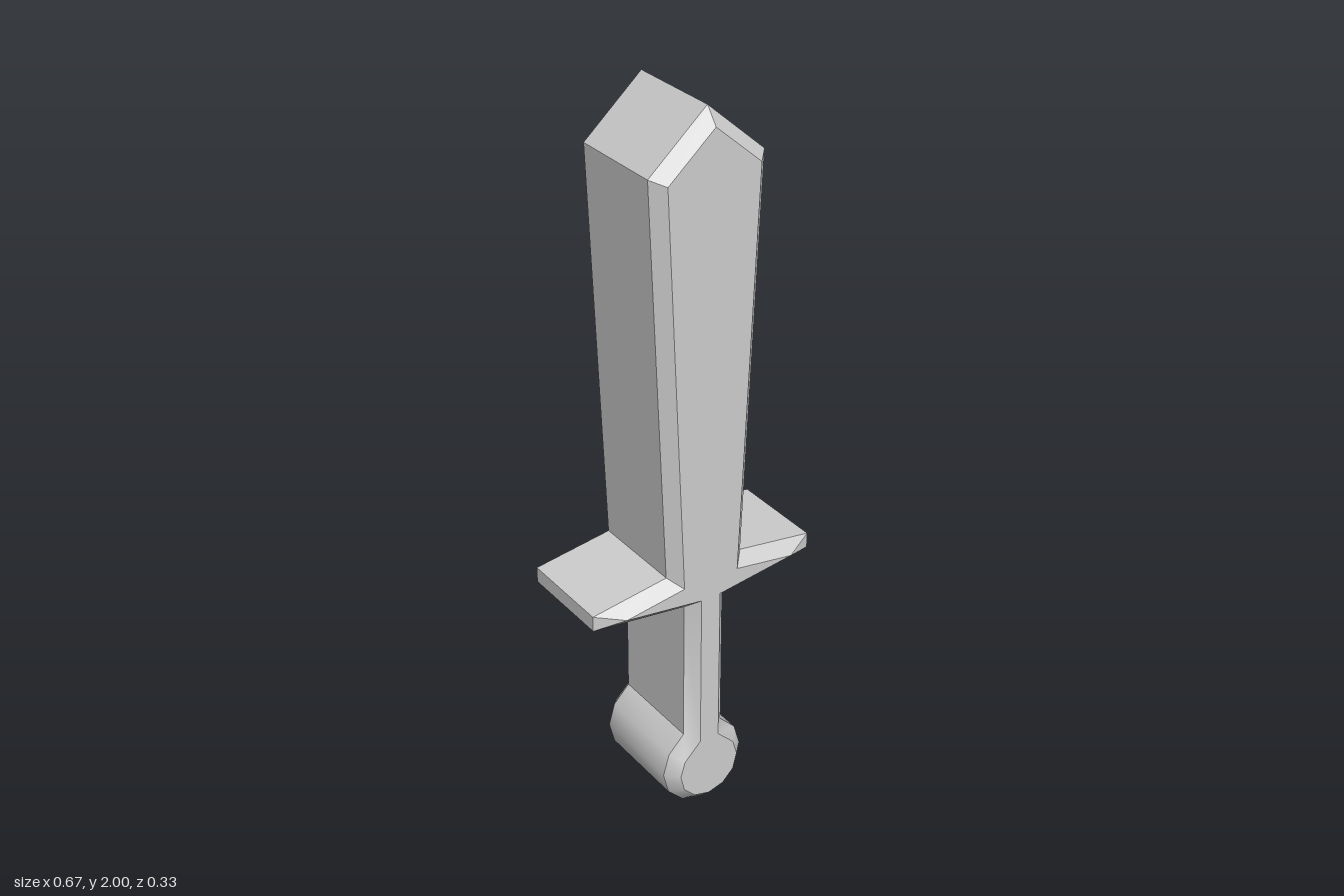
import * as THREE from 'three';
import { toCreasedNormals } from 'three/addons/utils/BufferGeometryUtils.js';

// Half outline from pommel bottom to blade tip, mirrored into a closed counter-clockwise loop
function outline(radius, upper) {
  const half = [];
  for (let i = 0; i < 5; i++) {
    const a = THREE.MathUtils.degToRad(30.3 * i);
    half.push([radius * Math.sin(a), 0.125 - radius * Math.cos(a)]);
  }
  half.push(...upper);
  const mirrored = half.slice(1, -1).reverse().map(([x, y]) => [-x, y]);
  return [...half, ...mirrored].map(([x, y]) => new THREE.Vector2(x, y));
}

export function createModel() {
  // Handle, guard and blade: full outline, and the inset face (its guard narrows to a point)
  const outer = outline(0.125, [[0.06, 0.238], [0.06, 0.652], [0.335, 0.688], [0.335, 0.731],
    [0.115, 0.763], [0.163, 1.857], [0, 2]]);
  const inner = outline(0.092, [[0.029, 0.222], [0.029, 0.678], [0.256, 0.709], [0.256, 0.709],
    [0.082, 0.735], [0.131, 1.843], [0, 1.957]]);

  const positions = [];
  const triangle = (a, b, c) => {
    const area = new THREE.Triangle(a, b, c).getArea();
    if (area > 1e-7) for (const p of [a, b, c]) positions.push(p.x, p.y, p.z);
  };
  const layer = (loop, z) => loop.map((p) => new THREE.Vector3(p.x, p.y, z));
  const layers = [layer(inner, -0.167), layer(outer, -0.133), layer(outer, 0.133), layer(inner, 0.167)];

  // Back bevel, sides and front bevel
  for (let k = 0; k < 3; k++) {
    const lo = layers[k], hi = layers[k + 1];
    for (let i = 0; i < lo.length; i++) {
      const j = (i + 1) % lo.length;
      triangle(lo[i], lo[j], hi[j]);
      triangle(lo[i], hi[j], hi[i]);
    }
  }

  // Flat front and back faces
  for (const [a, b, c] of THREE.ShapeUtils.triangulateShape(inner, [])) {
    triangle(layers[3][a], layers[3][b], layers[3][c]);
    triangle(layers[0][c], layers[0][b], layers[0][a]);
  }

  const geometry = new THREE.BufferGeometry();
  geometry.setAttribute('position', new THREE.Float32BufferAttribute(positions, 3));
  const sword = new THREE.Mesh(
    toCreasedNormals(geometry, THREE.MathUtils.degToRad(35)),
    new THREE.MeshStandardMaterial({ color: 0xcccccc })
  );
  sword.name = 'sword';

  const group = new THREE.Group();
  group.name = 'beveledSword';
  group.add(sword);
  return group;
}
